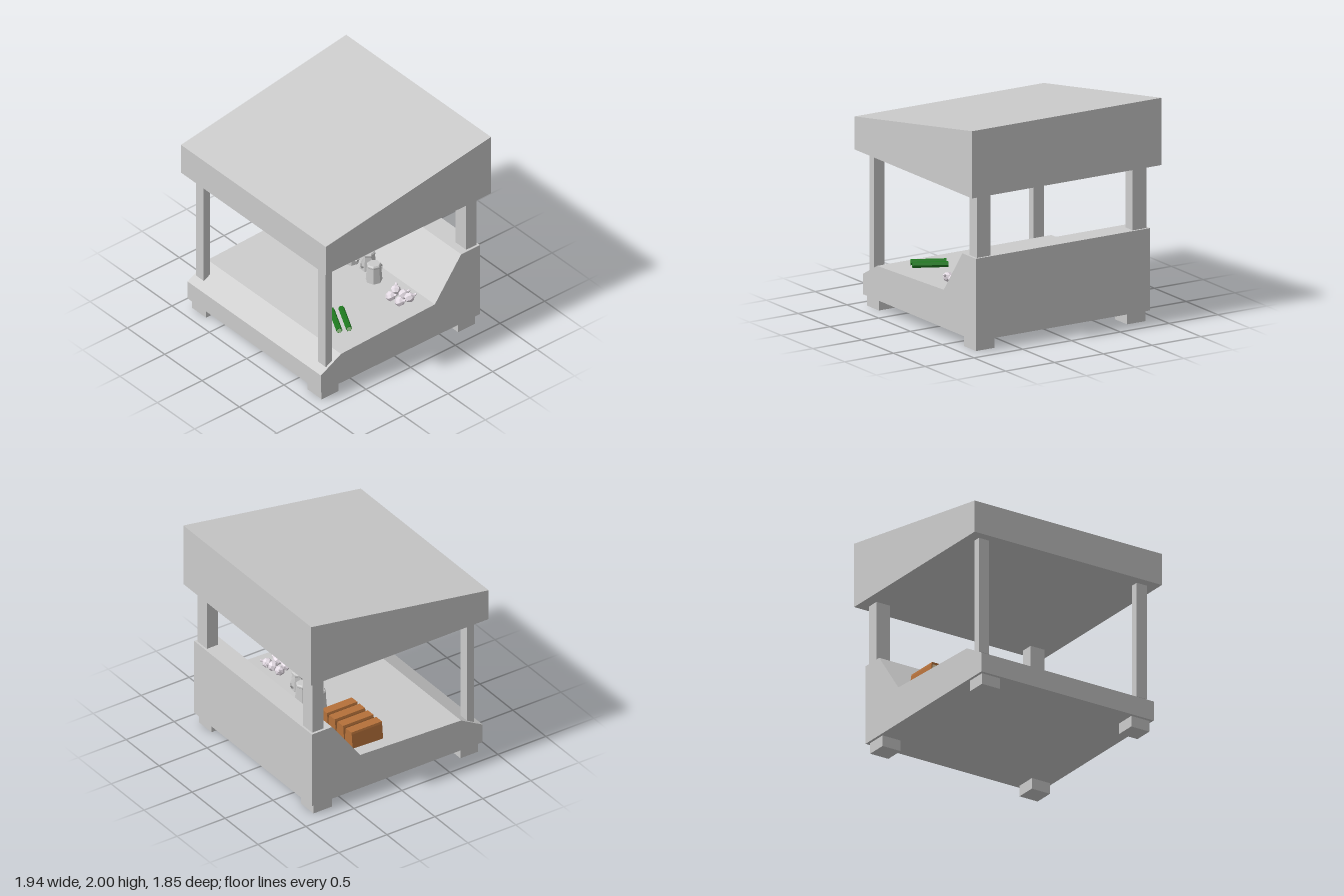
import * as THREE from 'three';

const mat = (color) => new THREE.MeshStandardMaterial({ color, flatShading: true });
const grey = mat(0xcccccc), crust = mat(0xb5713a), crumb = mat(0xe8dab4);
const green = mat(0x1f7a1f), flesh = mat(0xa9dc9a), white = mat(0xe6dde6);

function add(parent, name, geometry, material, x = 0, y = 0, z = 0) {
  const mesh = new THREE.Mesh(geometry, material);
  mesh.name = name;
  mesh.position.set(x, y, z);
  parent.add(mesh);
  return mesh;
}

function group(parent, name, x = 0, y = 0, z = 0) {
  const g = new THREE.Group();
  g.name = name;
  g.position.set(x, y, z);
  parent.add(g);
  return g;
}

const shape = (pts) => new THREE.Shape(pts.map(([a, b]) => new THREE.Vector2(a, b)));

// Side profile of (z, y) points, extruded across the full width
function sideExtrude(profile, width) {
  const s = shape(profile.map(([z, y]) => [-z, y]));
  return new THREE.ExtrudeGeometry(s, { depth: width, bevelEnabled: false })
    .translate(0, 0, -width / 2).rotateY(Math.PI / 2);
}

// Box given by its limits
function limits(parent, name, x0, x1, y0, y1, z0, z1) {
  return add(parent, name, new THREE.BoxGeometry(x1 - x0, y1 - y0, z1 - z0), grey,
    (x0 + x1) / 2, (y0 + y1) / 2, (z0 + z1) / 2);
}

// Height of the sloping table top
const tableY = (z) => 0.405 + (0.69 - z) * 0.0333;

function addLoaf(parent, x) {
  const loaf = group(parent, 'breadLoaf', x, 0.43, -0.36);
  const body = shape([[-0.062, 0], [0.062, 0], [0.047, 0.145], [0.042, 0.165], [-0.042, 0.165], [-0.047, 0.145]]);
  add(loaf, 'crust', new THREE.ExtrudeGeometry(body, { depth: 0.317, bevelEnabled: false }), crust);
  const face = shape([[-0.053, 0.008], [0.053, 0.008], [0.04, 0.143], [-0.04, 0.143]]);
  add(loaf, 'cutFace', new THREE.ShapeGeometry(face), crumb, 0, 0, 0.319);
}

function addMug(parent, x, z, angle) {
  const mug = group(parent, 'mug', x, tableY(z), z);
  mug.rotation.y = angle;
  const profile = [[0, 0], [0.074, 0], [0.062, 0.145], [0.064, 0.15], [0.064, 0.163], [0.054, 0.175], [0, 0.175]];
  add(mug, 'cup', new THREE.LatheGeometry(profile.map(([r, y]) => new THREE.Vector2(r, y)), 7), grey);
  const handle = add(mug, 'handle', new THREE.TorusGeometry(0.045, 0.009, 4, 5, Math.PI), grey, 0.057, 0.085, 0);
  handle.rotation.z = -Math.PI / 2;
  handle.scale.set(1.1, 0.95, 1.2);
}

function addGarlic(parent, x, z, angle) {
  const bulb = group(parent, 'garlicBulb', x, tableY(z) + 0.04, z);
  bulb.rotation.set(0, angle, -1.1);
  const profile = [[0, -0.04], [0.03, -0.036], [0.046, -0.005], [0.036, 0.025], [0.013, 0.042], [0.009, 0.065], [0, 0.065]];
  add(bulb, 'bulb', new THREE.LatheGeometry(profile.map(([r, y]) => new THREE.Vector2(r, y)), 7), white);
}

function addCucumber(parent, x, z) {
  const length = 0.31;
  const cucumber = group(parent, 'cucumber', x, 0.443, z);
  cucumber.rotation.y = -Math.atan2(0.145, 0.28);
  add(cucumber, 'skin', new THREE.CylinderGeometry(0.027, 0.027, length, 6).rotateZ(-Math.PI / 2), green);
  add(cucumber, 'cutEnd', new THREE.CircleGeometry(0.023, 6).rotateZ(Math.PI / 6).rotateY(Math.PI / 2),
    flesh, length / 2 + 0.002, 0, 0);
}

export function createModel() {
  const model = new THREE.Group();
  model.name = 'marketStall';

  // Counter with sloping front lip and raised back
  add(model, 'counter', sideExtrude([
    [0.915, 0.1], [0.915, 0.28], [0.69, 0.405], [-0.36, 0.44],
    [-0.655, 0.835], [-0.865, 0.835], [-0.865, 0.1]], 1.786), grey);

  // Slanted solid roof
  add(model, 'roof', sideExtrude([
    [0.925, 1.4], [0.925, 1.695], [-0.925, 2], [-0.925, 1.4]], 1.94), grey);

  // Posts and feet, mirrored left and right
  for (const s of [-1, 1]) {
    const span = (a, b) => (s > 0 ? [a, b] : [-b, -a]);
    limits(model, 'frontPost', ...span(0.765, 0.87), 0.324, 1.41, 0.77, 0.842);
    limits(model, 'backPost', ...span(0.728, 0.87), 0.82, 1.41, -0.845, -0.73);
    limits(model, 'frontFoot', ...span(0.68, 0.868), 0, 0.11, 0.7, 0.885);
    limits(model, 'backFoot', ...span(0.68, 0.868), 0, 0.11, -0.83, -0.64);
  }

  // Goods on the counter
  for (const x of [-0.715, -0.588, -0.462, -0.343]) addLoaf(model, x);

  addMug(model, -0.06, -0.22, 0);
  addMug(model, 0.105, -0.27, -1.35);
  addMug(model, 0.275, -0.195, 1.7);

  addGarlic(model, 0.55, -0.21, 2.4);
  addGarlic(model, 0.59, -0.12, 0.4);
  addGarlic(model, 0.64, -0.22, 1.2);
  addGarlic(model, 0.7, -0.13, 0.3);
  addGarlic(model, 0.71, -0.23, 1.0);

  addCucumber(model, 0.56, 0.365);
  addCucumber(model, 0.525, 0.445);

  return model;
}
